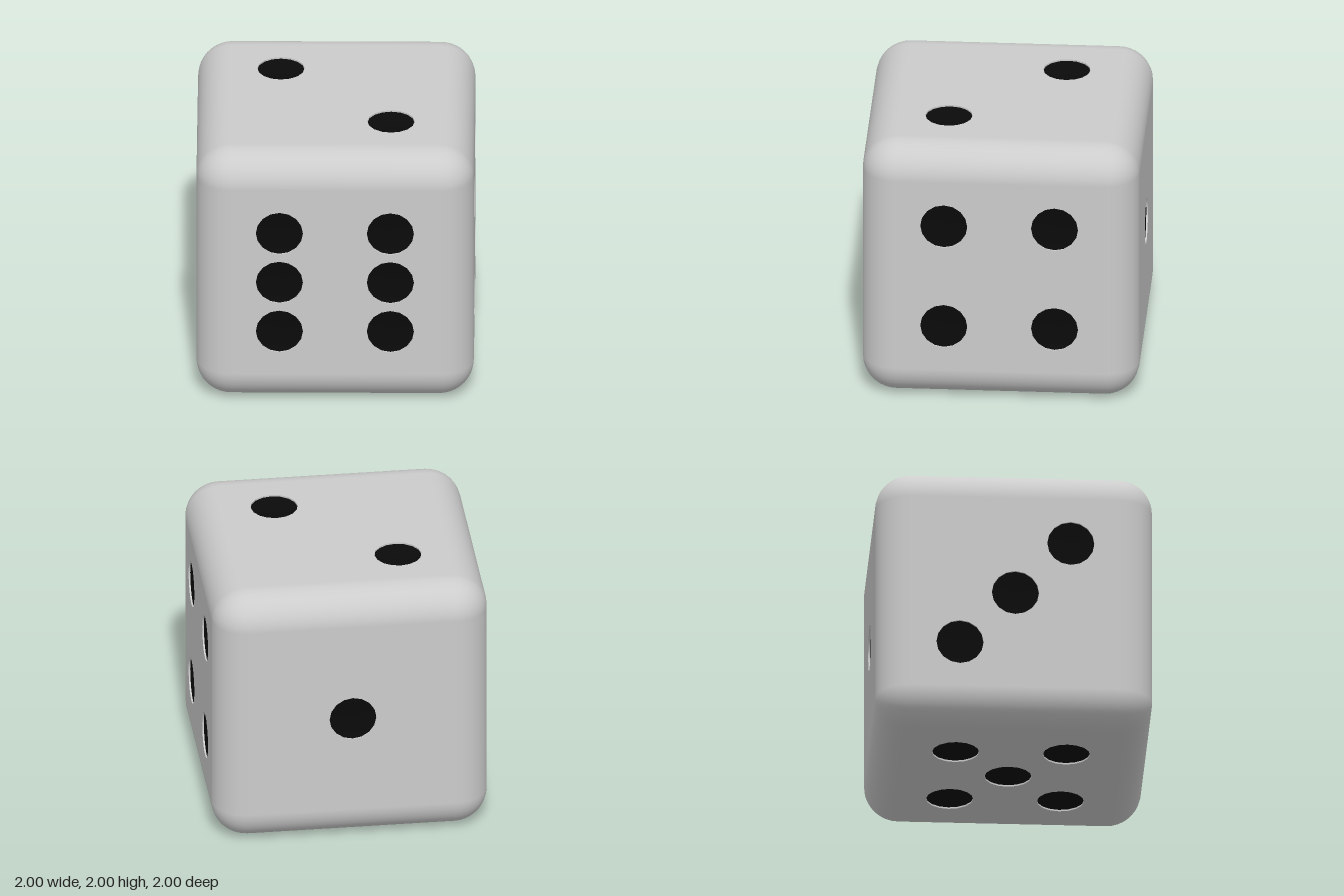
import * as THREE from 'three';
import { RoundedBoxGeometry } from 'three/addons/geometries/RoundedBoxGeometry.js';

const RADIUS = 0.25;      // edge rounding
const FLAT = 1 - RADIUS;  // half width of each flat face
const PIP = 0.17;
const SIDES = 16;
const D = 0.4;            // pip spacing

const grey = new THREE.MeshStandardMaterial({ color: 0xcccccc });
const black = new THREE.MeshStandardMaterial({ color: 0x0a0a0a });

// Rounded edges and corners only: the flat middle of every side is left open
function roundedFrame() {
  const box = new RoundedBoxGeometry(2, 2, 2, 5, RADIUS);
  const source = box.index ? box.toNonIndexed() : box;
  const p = source.attributes.position, n = source.attributes.normal;
  const positions = [], normals = [];
  for (let i = 0; i < p.count; i += 3) {
    const corners = [i, i + 1, i + 2];
    const flat = ['getX', 'getY', 'getZ'].some((get) =>
      corners.every((k) => Math.abs(p[get](k)) > 0.9999));
    if (flat) continue;
    for (const k of corners) {
      positions.push(p.getX(k), p.getY(k), p.getZ(k));
      normals.push(n.getX(k), n.getY(k), n.getZ(k));
    }
  }
  const geometry = new THREE.BufferGeometry();
  geometry.setAttribute('position', new THREE.Float32BufferAttribute(positions, 3));
  geometry.setAttribute('normal', new THREE.Float32BufferAttribute(normals, 3));
  return geometry;
}

// Flat panel with a round hole for each pip
function panelGeometry(pips) {
  const shape = new THREE.Shape([
    new THREE.Vector2(-FLAT, -FLAT), new THREE.Vector2(FLAT, -FLAT),
    new THREE.Vector2(FLAT, FLAT), new THREE.Vector2(-FLAT, FLAT),
  ]);
  for (const [x, y] of pips) {
    const hole = [];
    for (let i = 0; i < SIDES; i++) {
      const a = (-i / SIDES) * Math.PI * 2;
      hole.push(new THREE.Vector2(x + PIP * Math.cos(a), y + PIP * Math.sin(a)));
    }
    shape.holes.push(new THREE.Path(hole));
  }
  return new THREE.ShapeGeometry(shape);
}

// Surface of revolution around z from [radius, height] points
function turned(points) {
  const profile = points.map(([r, h]) => new THREE.Vector2(r, h));
  return new THREE.LatheGeometry(profile, SIDES).rotateX(Math.PI / 2).rotateZ(Math.PI / 2);
}

export function createModel() {
  const die = new THREE.Group();
  die.name = 'die';

  const body = new THREE.Mesh(roundedFrame(), grey);
  body.name = 'roundedEdges';
  body.position.y = 1;
  die.add(body);

  // Thin rim wall, then a shallow dish
  const rimGeometry = turned([[PIP, -0.012], [PIP, 0]]);
  const dishGeometry = turned([[0, -0.03], [0.08, -0.026], [0.14, -0.018], [PIP, -0.012]]);
  const rimMaterial = grey.clone();
  rimMaterial.side = THREE.DoubleSide;
  const dishMaterial = black.clone();
  dishMaterial.side = THREE.DoubleSide;

  // Pip layouts, in the plane of each side
  const corners = [[-D, -D], [D, -D], [-D, D], [D, D]];
  const Q = Math.PI / 2;
  const sides = [
    { name: 'front', turn: [0, 0], pips: [...corners, [-D, 0], [D, 0]] },
    { name: 'back', turn: [0, 2 * Q], pips: [[0, 0]] },
    { name: 'left', turn: [0, Q], pips: corners },
    { name: 'right', turn: [0, -Q], pips: [[-D, -D], [0, 0], [D, D]] },
    { name: 'top', turn: [-Q, 0], pips: [[-D, D], [D, -D]] },
    { name: 'bottom', turn: [Q, 0], pips: [...corners, [0, 0]] },
  ];

  for (const { name, turn, pips } of sides) {
    const side = new THREE.Group();
    side.name = name + 'Side';
    side.position.y = 1;
    side.rotation.set(turn[0], turn[1], 0);

    const panel = new THREE.Mesh(panelGeometry(pips), grey);
    panel.name = name + 'Panel';
    panel.position.z = 1;
    side.add(panel);

    for (const [x, y] of pips) {
      const pip = new THREE.Group();
      pip.name = 'pip';
      pip.position.set(x, y, 1);
      const rim = new THREE.Mesh(rimGeometry, rimMaterial);
      rim.name = 'pipRim';
      const dish = new THREE.Mesh(dishGeometry, dishMaterial);
      dish.name = 'pipDish';
      pip.add(rim, dish);
      side.add(pip);
    }
    die.add(side);
  }
  return die;
}
